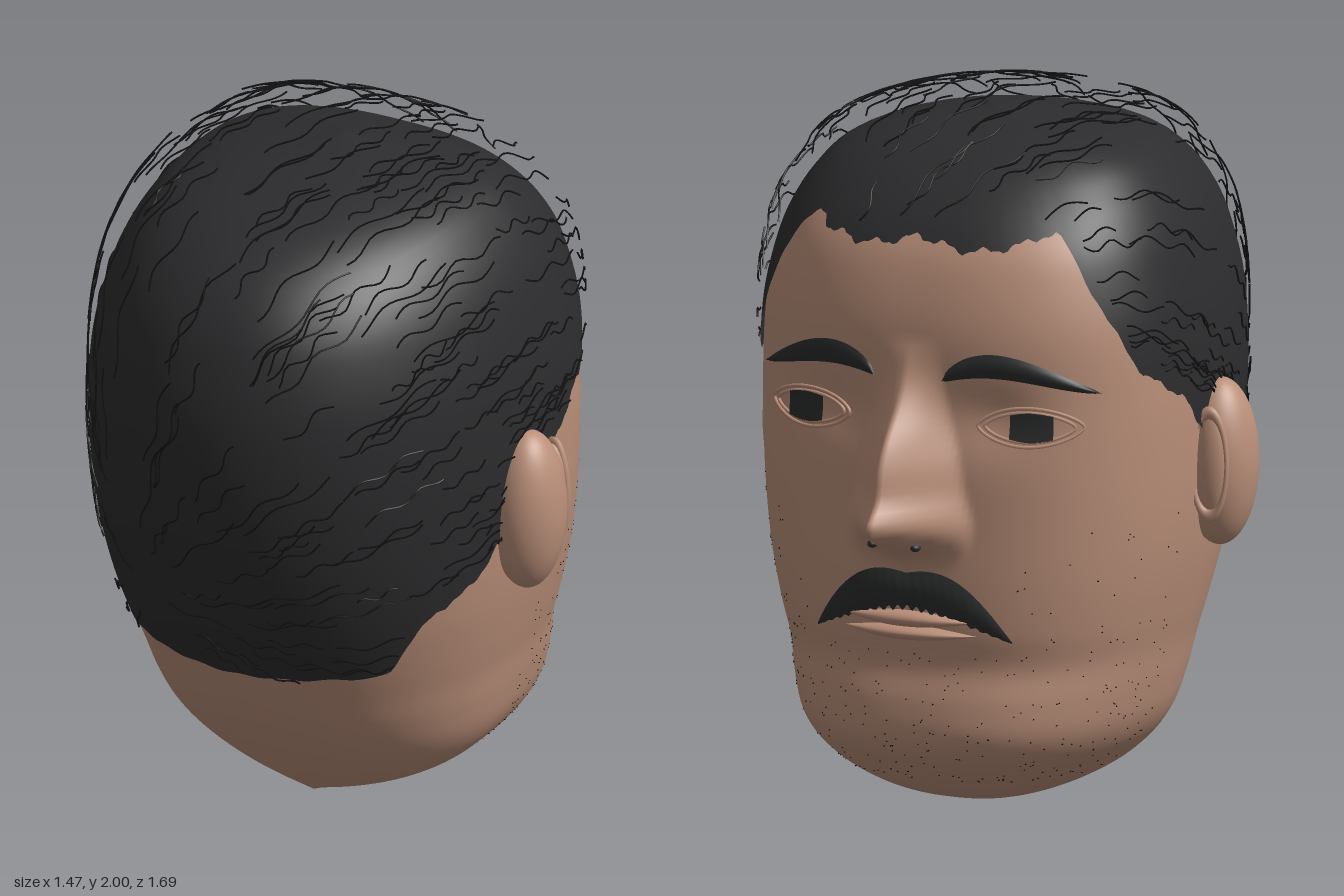
import * as THREE from 'three';
import { mergeGeometries } from 'three/addons/utils/BufferGeometryUtils.js';

const mat = (name, color, side = THREE.FrontSide) => {
  const m = new THREE.MeshStandardMaterial({ color, side });
  m.name = name;
  return m;
};

// Smooth lookup in rows [key, value, ...]
function lookup(rows, k, c) {
  let i = 0;
  while (i < rows.length - 2 && k > rows[i + 1][0]) i++;
  const slope = (j) => {
    const p = rows[Math.max(0, j - 1)], q = rows[Math.min(rows.length - 1, j + 1)];
    return (q[c] - p[c]) / (q[0] - p[0]);
  };
  const a = rows[i], b = rows[i + 1], d = b[0] - a[0];
  const t = Math.min(1, Math.max(0, (k - a[0]) / d)), t2 = t * t, t3 = t2 * t;
  return a[c] * (2 * t3 - 3 * t2 + 1) + b[c] * (3 * t2 - 2 * t3)
    + d * slope(i) * (t3 - 2 * t2 + t) + d * slope(i + 1) * (t3 - t2);
}

// Head sections: height, half width, depth to the back (+z), depth to the face (-z)
const TOP = 1.92;
const SECTIONS = [
  [0, 0.02, 0.17, 0.10], [0.04, 0.2, 0.22, 0.30], [0.1, 0.33, 0.29, 0.44], [0.18, 0.43, 0.37, 0.54],
  [0.26, 0.485, 0.44, 0.588], [0.36, 0.515, 0.515, 0.588], [0.46, 0.535, 0.575, 0.568], [0.56, 0.56, 0.63, 0.585],
  [0.7, 0.59, 0.70, 0.592], [0.85, 0.61, 0.76, 0.59], [1.0, 0.62, 0.80, 0.587], [1.2, 0.625, 0.83, 0.578],
  [1.4, 0.612, 0.825, 0.58], [1.55, 0.58, 0.785, 0.55], [1.65, 0.545, 0.735, 0.505], [1.75, 0.485, 0.64, 0.42],
  [1.83, 0.4, 0.49, 0.31], [1.88, 0.25, 0.29, 0.19], [TOP, 0, 0, 0],
];
// Nose: height, projection, half width
const NOSE = [
  [0.74, 0, 0.15], [0.79, 0.045, 0.18], [0.83, 0.15, 0.19], [0.87, 0.235, 0.19], [0.905, 0.258, 0.18],
  [0.96, 0.208, 0.165], [1.05, 0.19, 0.15], [1.12, 0.157, 0.13], [1.2, 0.09, 0.11], [1.28, 0.035, 0.1], [1.38, 0, 0.1],
];
// Hairline: angle from the back of the head, height
const HAIRLINE = [
  [0, 0.545], [0.5, 0.56], [0.72, 0.57], [0.8, 0.66], [0.92, 0.75], [1.09, 0.8], [1.25, 0.9], [1.5, 1.0],
  [1.65, 1.1], [1.82, 1.2], [2.04, 1.28], [2.18, 1.4], [2.3, 1.55], [2.4, 1.67], [2.6, 1.65], [2.85, 1.63], [3.15, 1.66],
];
const hairline = (angle) => {
  const a = Math.abs(Math.atan2(Math.sin(angle), Math.cos(angle)));
  const rough = THREE.MathUtils.smoothstep(a, 0.6, 1);
  return lookup(HAIRLINE, a, 1) + (0.003 + 0.006 * rough) * Math.sin(angle * 31) + 0.004 * rough * Math.sin(angle * 83);
};

// Relief of nose and eye sockets, measured towards -z
function relief(x, y) {
  const f = Math.max(0, 1 - Math.abs(x) / lookup(NOSE, y, 2));
  const nose = y > 0.74 && y < 1.38 ? Math.max(0, lookup(NOSE, y, 1)) * (0.75 * f + 0.25 * f * f * (3 - 2 * f)) : 0;
  const dx = (Math.abs(x) - 0.24) / 0.13, dy = (y - 1.17) / 0.09;
  return nose - 0.025 * Math.exp(-dx * dx - dy * dy);
}
function headPoint(angle, y) {
  const s = Math.sin(angle), c = Math.cos(angle), n = c > 0 ? 2.1 : 2.5;
  const w = Math.max(1e-4, lookup(SECTIONS, y, 1)), d = Math.max(1e-4, lookup(SECTIONS, y, c > 0 ? 2 : 3));
  const r = Math.pow(Math.pow(Math.abs(s) / w, n) + Math.pow(Math.abs(c) / d, n), -1 / n);
  return new THREE.Vector3(s * r, y, c * r - (c < 0 ? relief(s * r, y) : 0));
}
// Point of the face seen at (x, y), lifted outwards
function facePoint(x, y, lift = 0) {
  const w = lookup(SECTIONS, y, 1), d = lookup(SECTIONS, y, 3);
  const z = -d * Math.pow(Math.max(0, 1 - Math.pow(Math.abs(x) / w, 2.5)), 0.4);
  const out = new THREE.Vector3(x / (w * w), 0, z / (d * d)).normalize().multiplyScalar(lift);
  return new THREE.Vector3(x, y, z - relief(x, y)).add(out);
}

// Surface from a grid of points fn(i/cols, j/rows)
function grid(cols, rows, fn, wrap = false) {
  const pos = [], idx = [], n = wrap ? cols : cols + 1;
  for (let j = 0; j <= rows; j++) for (let i = 0; i < n; i++) pos.push(...fn(i / cols, j / rows).toArray());
  for (let j = 0; j < rows; j++) for (let i = 0; i < cols; i++) {
    const a = j * n + i, b = j * n + (i + 1) % n;
    idx.push(a, b, b + n, a, b + n, a + n);
  }
  const g = new THREE.BufferGeometry();
  g.setAttribute('position', new THREE.Float32BufferAttribute(pos, 3));
  g.setIndex(idx);
  g.computeVertexNormals();
  return g;
}
// Thin patch lying on the face between two height curves
const facePatch = (x0, x1, low, high, lift, cols = 32, rows = 6) => grid(cols, rows, (u, v) => {
  const x = x0 + (x1 - x0) * u;
  return facePoint(x, low(u) + (high(u) - low(u)) * v, lift(u, v));
});

export function createModel() {
  const group = new THREE.Group();
  const skin = mat('skin', 0xba8f79), skinThin = mat('skin fold', 0xba8f79, THREE.DoubleSide);
  const hair = mat('hair', 0x2c2c2e, THREE.DoubleSide), strand = mat('hair strand', 0x141416);
  const dark = mat('brow and iris', 0x2b2c2d, THREE.DoubleSide);
  const add = (name, geometry, material, parent = group) => {
    const m = new THREE.Mesh(geometry, material);
    m.name = name;
    parent.add(m);
    return m;
  };
  let seed = 7;
  const rand = () => {
    seed = (seed + 0x6d2b79f5) | 0;
    let t = Math.imul(seed ^ (seed >>> 15), 1 | seed);
    t = (t + Math.imul(t ^ (t >>> 7), 61 | t)) ^ t;
    return ((t ^ (t >>> 14)) >>> 0) / 4294967296;
  };
  const turn = (u) => u * Math.PI * 2 + 0.5 * Math.sin(u * Math.PI * 2);

  // Head with nose, rings closer together at crown and chin
  add('head', grid(180, 130, (u, v) => {
    const p = headPoint(turn(u), TOP / 2 * (1 - Math.cos(v * Math.PI)));
    return v === 0 ? new THREE.Vector3(0, 0, 0.03) : p;
  }, true), skin);

  // Close-cropped hair cap
  add('hairCap', grid(300, 36, (u, v) => {
    const a = u * Math.PI * 2, y0 = hairline(a);
    const p = headPoint(a, y0 + (TOP - y0) * Math.sin(v * Math.PI / 2));
    return p.multiply(new THREE.Vector3(1.014, 1, 1.014)).setY(p.y + 0.008 * v);
  }, true), hair);

  // Loose wavy strands fanning out from a whorl at the back
  const centre = new THREE.Vector3(0, 1, 0);
  const whorl = new THREE.Vector3(-0.25, -0.22, 0.73).normalize();
  const side = new THREE.Vector3(0, 1, 0).cross(whorl).normalize();
  const up = whorl.clone().cross(side);
  const strandPoint = (phi, a) => {
    const d = whorl.clone().multiplyScalar(Math.cos(a))
      .addScaledVector(side, Math.sin(a) * Math.cos(phi)).addScaledVector(up, Math.sin(a) * Math.sin(phi));
    let lo = 0, hi = 1.2;
    for (let k = 0; k < 16; k++) {
      const r = (lo + hi) / 2, y = 1 + d.y * r, p = headPoint(Math.atan2(d.x, d.z), y);
      if (y < TOP && Math.hypot(d.x, d.z) * r < Math.hypot(p.x, p.z)) lo = r; else hi = r;
    }
    const q = d.clone().multiplyScalar(lo).add(centre);
    if (q.y < hairline(Math.atan2(q.x, q.z))) return null;
    return q.addScaledVector(d, 0.016 + 0.059 * THREE.MathUtils.smoothstep(d.y, 0.35, 0.9));
  };
  const strands = [];
  for (let k = 0; k < 620; k++) {
    const phi = rand() * Math.PI * 2, a0 = Math.acos(1 - 1.75 * rand()), len = 0.15 + 0.22 * rand(), ph = rand() * 6;
    const pts = [], wave = 0.8 + 0.5 * rand();
    for (let i = 0; i <= 10; i++) {
      const a = a0 + len * i / 10;
      const p = strandPoint(phi + 0.013 * Math.sin(ph + i * wave) / Math.max(0.25, Math.sin(a)), a);
      if (!p) break;
      pts.push(p);
    }
    if (pts.length > 3) strands.push(new THREE.TubeGeometry(new THREE.CatmullRomCurve3(pts), 14, 0.003, 3));
  }
  add('hairStrands', mergeGeometries(strands), strand);

  const arch = (u) => Math.sin(Math.PI * u);
  for (const s of [1, -1]) {
    const tag = s > 0 ? 'left' : 'right';
    // Ear with inner rim
    const ear = new THREE.Group();
    ear.name = tag + 'Ear';
    group.add(ear);
    const lobe = add('earShell', new THREE.SphereGeometry(1, 40, 28), skin, ear);
    lobe.scale.set(0.105, 0.235, 0.118);
    lobe.position.set(s * 0.632, 0.968, 0.085);
    const rim = add('earRim', new THREE.TorusGeometry(1, 0.13, 10, 40), skin, ear);
    rim.scale.set(0.05, 0.145, 0.08);
    rim.position.set(s * 0.65, 0.98, -0.027);
    rim.rotation.y = s * -0.2;
    const bowl = add('earBowl', new THREE.SphereGeometry(1, 24, 16), skin, ear);
    bowl.scale.set(0.05, 0.15, 0.035);
    bowl.position.set(s * 0.65, 0.98, -0.01);

    // Eye: two nested lid folds and an iris cut by the lids
    for (const [k, h] of [[1, 0.054], [0.86, 0.041]]) {
      const pts = [];
      for (let i = 0; i < 36; i++) {
        const t = i / 36 * Math.PI * 2, c = Math.cos(t), n = Math.sin(t);
        pts.push(facePoint(s * (0.33 + 0.138 * k * c), 1.152 + h * n * Math.abs(n) ** 0.4, 0.003));
      }
      add(tag + 'Eyelid', new THREE.TubeGeometry(new THREE.CatmullRomCurve3(pts, true), 72, 0.005, 6, true), skin);
    }
    add(tag + 'Iris', facePatch(s * 0.28, s * 0.395, (u) => 1.119 - 0.008 * arch(u),
      (u) => 1.185 + 0.008 * arch(u), () => 0.008, 10), dark);

    // Arched brow, tapering to the temple
    const mid = (u) => 1.275 + 0.06 * Math.sin(Math.PI * Math.pow(u, 0.75)) - 0.03 * u;
    const thick = (u) => 0.034 * Math.pow(Math.max(0, arch(Math.pow(u, 0.7))), 0.7);
    add(tag + 'Brow', facePatch(s * 0.1, s * 0.5, (u) => mid(u) - thick(u), (u) => mid(u) + thick(u),
      (u, v) => 0.007 + 0.008 * arch(v)), dark);

    // Nostril
    const nostril = add(tag + 'Nostril', new THREE.SphereGeometry(1, 12, 8), dark);
    nostril.scale.set(0.014, 0.012, 0.018);
    nostril.position.copy(facePoint(s * 0.065, 0.822, 0));
  }

  // Drooping moustache with a combed lower edge
  const drop = (u) => Math.pow(Math.abs(u * 2 - 1), 1.6);
  add('moustache', facePatch(-0.29, 0.29, (u) => 0.632 - 0.087 * drop(u) + 0.008 * Math.sin(u * 130) * (1 - drop(u)),
    (u) => 0.73 + 0.02 * Math.sin(Math.PI * 2 * Math.abs(u - 0.5)) - 0.18 * drop(u) ** 1.5,
    (u, v) => 0.008 + 0.014 * arch(v) * (1 - drop(u)), 100, 8), dark);

  // Lips
  const lip = (y, h, out) => facePatch(-0.2, 0.2, (u) => y - h * arch(u), (u) => y + h * arch(u),
    (u, v) => 0.002 + out * Math.sqrt(arch(v)) * arch(u), 32, 10);
  add('upperLip', lip(0.6, 0.024, 0.036), skinThin);
  add('lowerLip', lip(0.562, 0.022, 0.045), skinThin);

  // Stubble on cheeks, jaw and chin
  const dots = [];
  while (dots.length < 420) {
    const angle = Math.PI + (rand() * 2 - 1) * 1.45, y = 0.12 + 0.85 * rand() * Math.sqrt(rand());
    const p = headPoint(angle, y);
    if (y > 0.5 && Math.abs(p.x) < 0.3) continue;
    dots.push(new THREE.TetrahedronGeometry(0.0038).translate(p.x, p.y, p.z));
  }
  add('stubble', mergeGeometries(dots), strand);
  return group;
}
